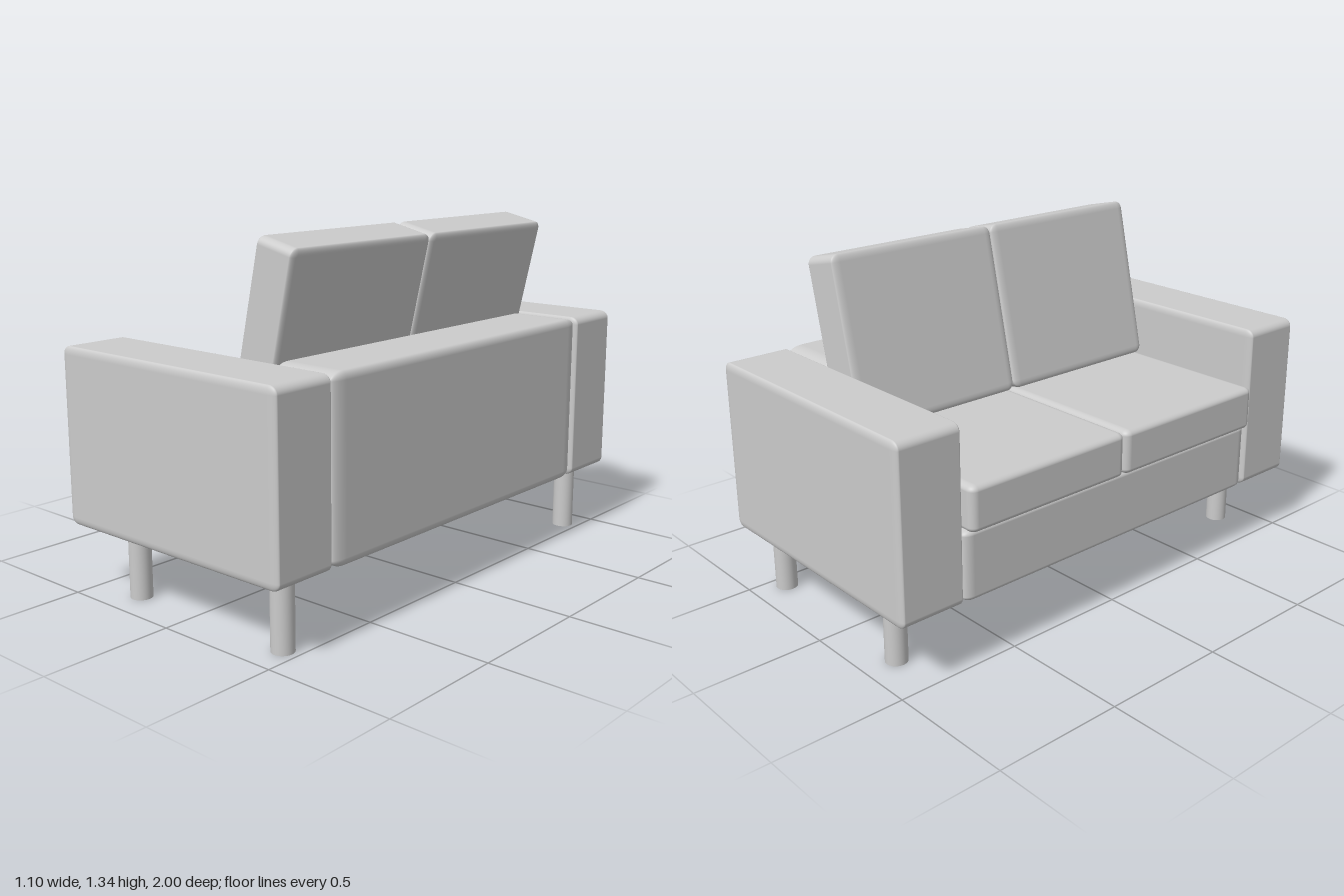
import * as THREE from 'three';
import { RoundedBoxGeometry } from 'three/addons/geometries/RoundedBoxGeometry.js';

const material = new THREE.MeshStandardMaterial({ color: 0xcccccc });

// Padded block spanning min..max, with its own edge rounding along each axis
function block(name, min, max, [rx, ry, rz]) {
  const size = max.map((v, i) => v - min[i]);
  const geometry = new RoundedBoxGeometry(size[0] / rx, size[1] / ry, size[2] / rz, 5, 1);
  geometry.scale(rx, ry, rz);
  const mesh = new THREE.Mesh(geometry, material);
  mesh.name = name;
  mesh.position.set(...max.map((v, i) => (v + min[i]) / 2));
  return mesh;
}

export function createModel() {
  const sofa = new THREE.Group();
  sofa.name = 'sofa';

  // Frame: seat base and upright back; the seat opens towards -x
  sofa.add(block('seatBase', [-0.52, 0.267, -0.733], [0.27, 0.535, 0.733], [0.025, 0.02, 0.04]));
  sofa.add(block('backPanel', [0.27, 0.267, -0.733], [0.545, 0.93, 0.733], [0.02, 0.03, 0.06]));

  for (const side of [-1, 1]) {
    const suffix = side > 0 ? 'Left' : 'Right';

    // Armrest
    const arm = block('arm' + suffix, [-0.52, 0.265, 0.738], [0.545, 0.93, 1], [0.035, 0.03, 0.013]);
    arm.position.z *= side;
    sofa.add(arm);

    // Seat cushion, overhanging the base slightly
    const seat = block('seatCushion' + suffix, [-0.55, 0.533, 0.002], [0.275, 0.707, 0.726], [0.03, 0.022, 0.03]);
    seat.position.z *= side;
    sofa.add(seat);

    // Leaning back cushion
    const back = block('backCushion' + suffix, [-0.085, -0.325, 0.002], [0.085, 0.325, 0.73], [0.012, 0.03, 0.032]);
    back.position.set(0.212, 1.011, back.position.z * side);
    back.rotation.z = -0.225;
    sofa.add(back);

    // Round legs under the armrest
    for (const x of [-0.29, 0.435]) {
      const leg = new THREE.Mesh(new THREE.CylinderGeometry(0.042, 0.042, 0.28, 32), material);
      leg.name = (x < 0 ? 'frontLeg' : 'rearLeg') + suffix;
      leg.position.set(x, 0.14, side * 0.868);
      sofa.add(leg);
    }
  }
  return sofa;
}
